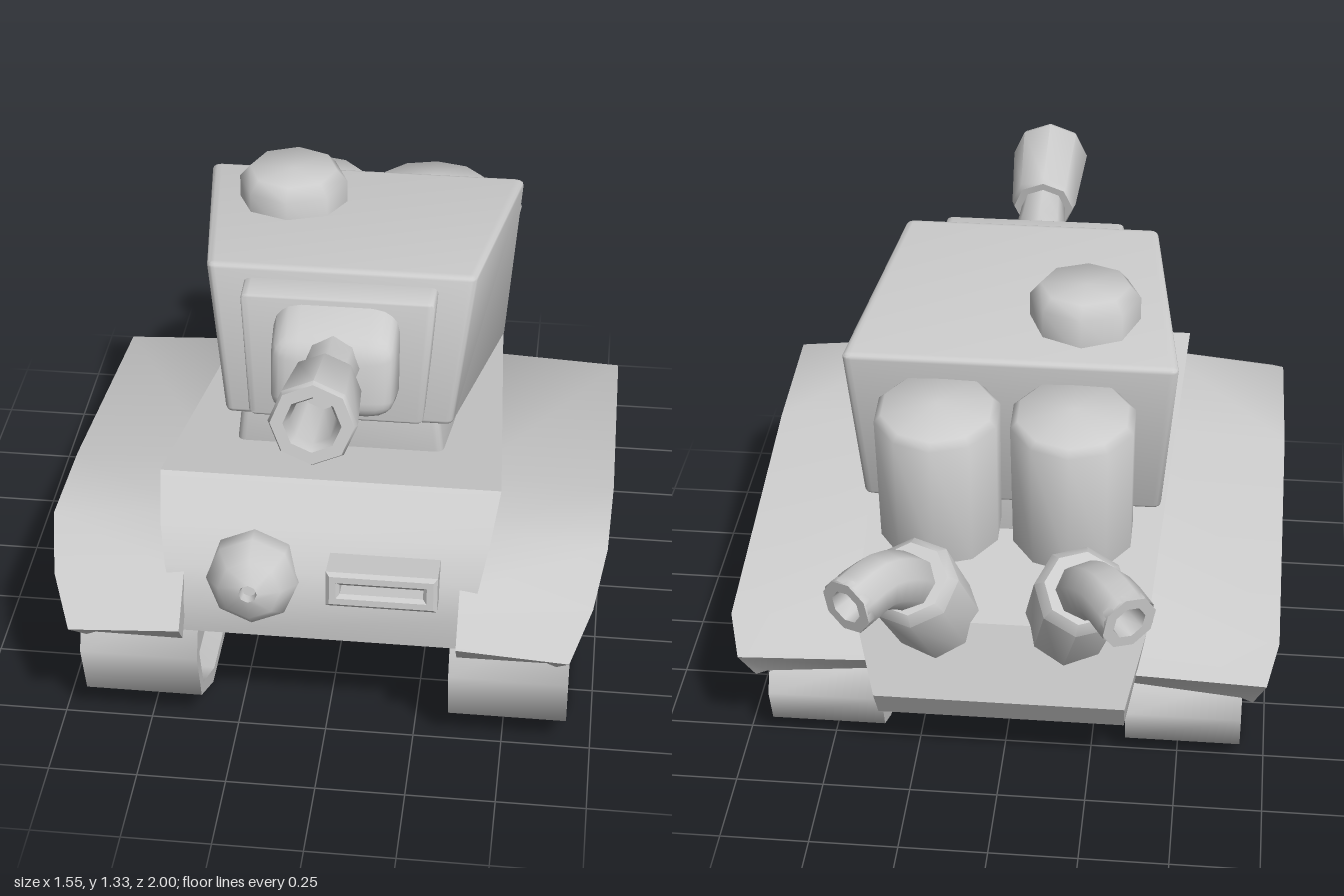
import * as THREE from 'three';
import { toCreasedNormals } from 'three/addons/utils/BufferGeometryUtils.js';
import { RoundedBoxGeometry } from 'three/addons/geometries/RoundedBoxGeometry.js';

const grey = new THREE.MeshStandardMaterial({ color: 0xcccccc, side: THREE.DoubleSide });
const V = (x, y, z) => new THREE.Vector3(x, y, z);
const lerp = THREE.MathUtils.lerp;

function part(name, geometry, crease = 0.7) {
  const mesh = new THREE.Mesh(toCreasedNormals(geometry, crease), grey);
  mesh.name = name;
  return mesh;
}

// Turned part: profile of [radius, height] standing at a and pointing towards b
function turned(name, profile, sides, a, b, crease = 0.85) {
  const points = profile.map(([r, h]) => new THREE.Vector2(r, h));
  const mesh = part(name, new THREE.LatheGeometry(points, sides), crease);
  mesh.position.copy(a);
  mesh.quaternion.setFromUnitVectors(V(0, 1, 0), b.clone().sub(a).normalize());
  return mesh;
}

// Bevelled block between a front and a back face, each [xTop, yTop, zTop, xBot, yBot, zBot]
function wedge(name, front, back, bevel) {
  const g = new RoundedBoxGeometry(1, 1, 1, 2, bevel);
  const p = g.attributes.position;
  for (let i = 0; i < p.count; i++) {
    const u = p.getX(i) * 2, t = 0.5 - p.getY(i), k = 0.5 - p.getZ(i);
    const at = (j) => lerp(lerp(front[j], front[j + 3], t), lerp(back[j], back[j + 3], t), k);
    p.setXYZ(i, u * at(0), at(1), at(2));
  }
  return part(name, g);
}

// Side outline of [z, y] points extruded across x, centred on x = 0
function sideExtrude(outline, width, hole) {
  const shape = new THREE.Shape(outline.map(([z, y]) => new THREE.Vector2(z, y)));
  if (hole) shape.holes.push(new THREE.Path(hole.map(([z, y]) => new THREE.Vector2(z, y))));
  return new THREE.ExtrudeGeometry(shape, { depth: width, bevelEnabled: false })
    .rotateY(-Math.PI / 2).translate(width / 2, 0, 0);
}

function makeHull() {
  const g = sideExtrude([[0.61, 0.77], [0.74, 0.69], [0.815, 0.6], [0.845, 0.5], [0.84, 0.4],
    [-0.64, 0.19], [-0.7, 0.29], [-0.63, 0.51]], 2);
  // The sides lean outward towards the top
  const p = g.attributes.position;
  for (let i = 0; i < p.count; i++) {
    p.setX(i, p.getX(i) * Math.max(0.35, 0.38 + 0.24 * (p.getY(i) - 0.4)));
  }
  return part('hull', g, 0.55);
}

function makeFender(side) {
  // Stations front to back: z, inner top y, outer x, outer y, lip z, lip y
  const stations = [
    [0.935, 0.47, 0.68, 0.45, 0.87, 0.385],
    [0.82, 0.585, 0.735, 0.55, 0.77, 0.475],
    [0.66, 0.675, 0.765, 0.635, 0.63, 0.56],
    [0.3, 0.61, 0.775, 0.585, 0.29, 0.505],
    [-0.56, 0.465, 0.775, 0.445, -0.52, 0.33],
    [-0.65, 0.375, 0.745, 0.36, -0.585, 0.255],
  ];
  const n = 5, pos = [], index = [];
  const tri = (a, b, c) => index.push(...(side > 0 ? [a, b, c] : [a, c, b]));
  for (const [z, y, ox, oy, lz, ly] of stations) {
    const section = [[0.375, y, z], [ox, oy, z], [ox - 0.035, ly, lz],
      [ox - 0.07, ly + 0.015, lz], [0.375, y - 0.065, lerp(z, lz, 0.8)]];
    for (const [a, b, c] of section) pos.push(a * side, b, c);
  }
  const last = (stations.length - 1) * n;
  for (let i = 0; i < last; i += n) {
    for (let j = 0; j < n; j++) {
      const k = (j + 1) % n;
      tri(i + j, i + k, i + n + k);
      tri(i + j, i + n + k, i + n + j);
    }
  }
  // End caps, fanned from the outer crest
  for (const [a, b] of [[2, 3], [3, 4], [4, 0]]) {
    tri(1, b, a);
    tri(last + 1, last + a, last + b);
  }
  const g = new THREE.BufferGeometry();
  g.setAttribute('position', new THREE.Float32BufferAttribute(pos, 3));
  g.setIndex(index);
  return part('fender', g, 0.75);
}

function makeTrack(side) {
  const track = new THREE.Group();
  track.name = 'track';
  const outer = [[0.82, 0.28], [0.77, 0.11], [0.58, 0], [-0.41, 0], [-0.53, 0.06], [-0.575, 0.18],
    [-0.52, 0.28], [-0.42, 0.32], [-0.28, 0.35], [-0.07, 0.405], [0.24, 0.45], [0.42, 0.5],
    [0.62, 0.52], [0.75, 0.45]];
  const inner = outer.map(([z, y]) => [0.12 + (z - 0.12) * 0.945, 0.25 + (y - 0.25) * 0.87]);
  const band = part('trackBand', sideExtrude(outer, 0.33, inner), 1.1);
  const plate = part('trackPlate', sideExtrude(inner, 0.17));
  band.position.x = side * 0.515;
  plate.position.x = side * 0.49;
  track.add(band, plate);
  // Dished road wheels shrink towards the back
  for (const [z, y, r] of [[0.565, 0.285, 0.22], [0.19, 0.24, 0.155], [-0.12, 0.208, 0.138], [-0.4, 0.185, 0.12]]) {
    track.add(turned('wheel', [[r, 0], [r, 0.075], [r * 0.93, 0.098], [r * 0.8, 0.098], [r * 0.72, 0.045],
      [r * 0.42, 0.025], [r * 0.24, 0.06], [r * 0.14, 0.09], [0, 0.098]], 8,
    V(side * 0.572, y, z), V(side, y, z), 0.95));
  }
  return track;
}

function makeExhaust(side) {
  const exhaust = new THREE.Group();
  exhaust.name = 'exhaust';
  const base = V(side * 0.18, 0.45, -0.54), top = V(side * 0.235, 0.725, -0.74);
  const h = base.distanceTo(top);
  exhaust.add(turned('exhaustBase', [[0, -0.04], [0.125, -0.04], [0.13, h - 0.03], [0.105, h], [0, h]], 8, base, top));
  const curve = new THREE.CatmullRomCurve3([V(side * 0.23, 0.69, -0.715), V(side * 0.26, 0.755, -0.79),
    V(side * 0.305, 0.79, -0.86), V(side * 0.37, 0.78, -0.96)]);
  exhaust.add(part('exhaustPipe', new THREE.TubeGeometry(curve, 8, 0.08, 8), 0.9));
  // Thick rim with a recess at the open end
  const end = curve.getPoint(1), out = end.clone().add(curve.getTangent(1));
  exhaust.add(turned('exhaustRim', [[0.08, -0.02], [0.08, 0.004], [0.048, 0.004], [0.04, -0.08], [0, -0.08]], 8, end, out));
  return exhaust;
}

function makeTurret() {
  const turret = new THREE.Group();
  turret.name = 'turret';
  turret.add(
    wedge('turretRing', [0.27, 0.9, 0.37, 0.31, 0.55, 0.37], [0.3, 0.9, -0.265, 0.33, 0.5, -0.265], 0.04),
    wedge('turretBody', [0.37, 1.27, 0.33, 0.315, 0.83, 0.4], [0.465, 1.2, -0.375, 0.425, 0.7, -0.3], 0.03),
    wedge('frontPlate', [0.265, 1.235, 0.425, 0.24, 0.875, 0.47], [0.27, 1.235, 0.25, 0.24, 0.875, 0.3], 0.04),
    wedge('mantlet', [0.165, 1.16, 0.555, 0.165, 0.965, 0.59], [0.175, 1.235, 0.38, 0.175, 0.9, 0.43], 0.22),
    turned('hatch', [[0, 0], [0.155, 0], [0.155, 0.12], [0.125, 0.155], [0, 0.155]], 8,
      V(-0.19, 1.17, -0.135), V(-0.19, 2, -0.135), 1),
  );
  // Gun with a wide hollow muzzle
  const breech = V(0, 1.095, 0.5), muzzle = V(0, 1.2, 0.975);
  const l = breech.distanceTo(muzzle);
  turret.add(turned('gunBarrel', [[0.078, 0], [0.075, 0.1], [0.065, l - 0.26]], 8, breech, muzzle));
  turret.add(turned('muzzle', [[0, l - 0.28], [0.09, l - 0.28], [0.098, l - 0.26], [0.115, l - 0.015], [0.108, l],
    [0.075, l], [0.062, l - 0.03], [0.055, l - 0.25], [0, l - 0.25]], 8, breech, muzzle));
  // Pair of drums on the back
  for (const side of [1, -1]) {
    turret.add(turned('rearDrum', [[0, 0], [0.172, 0], [0.175, 0.4], [0.155, 0.42], [0, 0.435]], 10,
      V(side * 0.185, 0.7, -0.43), V(side * 0.185, 1.11, -0.483), 1));
  }
  return turret;
}

export function createModel() {
  const model = new THREE.Group();
  model.name = 'tank';
  model.add(makeHull(), makeTurret());
  for (const side of [1, -1]) model.add(makeFender(side), makeTrack(side), makeExhaust(side));

  // Domed headlamp with a small socket in its tip
  model.add(turned('headlamp', [[0, -0.04], [0.11, -0.04], [0.132, 0.0], [0.125, 0.05], [0.085, 0.105],
    [0.025, 0.13], [0.02, 0.1], [0, 0.1]], 8, V(-0.187, 0.57, 0.785), V(-0.187, 0.77, 1.785), 1));

  // Framed vision slot
  const rect = (Type, w, h) => new Type([[-w, -h], [w, -h], [w, h], [-w, h]].map(([x, y]) => new THREE.Vector2(x, y)));
  const frame = rect(THREE.Shape, 0.14, 0.042);
  frame.holes.push(rect(THREE.Path, 0.122, 0.024));
  const slot = part('visionSlot', new THREE.ExtrudeGeometry(frame,
    { depth: 0.1, bevelThickness: 0.01, bevelSize: 0.01, bevelSegments: 1 }));
  slot.position.set(0.17, 0.6, 0.785);
  slot.rotation.x = -0.12;
  model.add(slot);
  return model;
}
